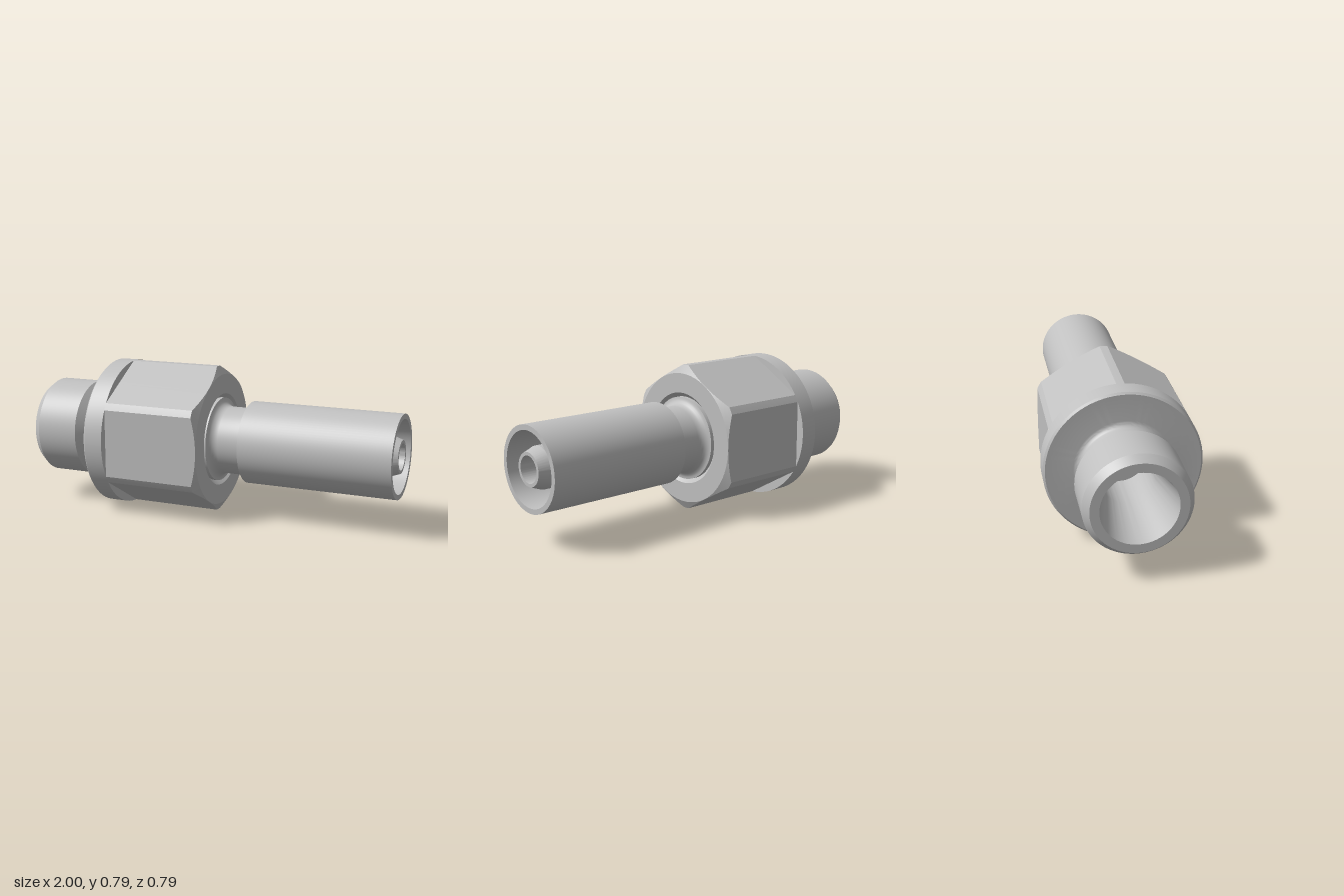
import * as THREE from 'three';
import { toCreasedNormals } from 'three/addons/utils/BufferGeometryUtils.js';

const AXIS_Y = 0.393;
const CREASE = 0.34;

// Turned part: profile of [radius, x] pairs spun around the x axis
function turned(profile) {
  const points = profile.map(([r, x]) => new THREE.Vector2(r, x));
  const geometry = new THREE.LatheGeometry(points, 96);
  geometry.rotateZ(-Math.PI / 2);
  return toCreasedNormals(geometry, CREASE);
}

// Quarter fillet sampled as profile points
function fillet(fn, steps = 6) {
  return Array.from({ length: steps + 1 }, (_, i) => fn((i / steps) * Math.PI / 2));
}

// Hexagon with rounded corners, a conical end chamfer and a countersunk hole
function hexNutGeometry() {
  const flat = 0.35, corner = 0.393, face = 0.349, end = 0.03;
  const cut = Math.PI / 6 - Math.acos(flat / corner);
  const angles = [];
  for (let k = 0; k < 6; k++) {
    const start = k * Math.PI / 3;
    angles.push(start);
    for (let i = 0; i <= 14; i++) {
      angles.push(start + cut + (i / 14) * (Math.PI / 3 - 2 * cut));
    }
  }
  angles.push(Math.PI * 2);

  const positions = [], index = [], rows = 5;
  angles.forEach((a) => {
    const fromFlat = (a % (Math.PI / 3)) - Math.PI / 6;
    const r = Math.min(flat / Math.cos(fromFlat), corner);
    const profile = [
      [r, -0.49], [r, end - (r - face) * 0.577], [face, end], [0.245, end], [0.222, 0.005],
    ];
    profile.forEach(([q, x]) => positions.push(x, q * Math.cos(a), q * Math.sin(a)));
  });
  for (let i = 0; i < angles.length - 1; i++) {
    for (let j = 0; j < rows - 1; j++) {
      const a = i * rows + j, b = a + rows;
      index.push(a, b, b + 1, a, b + 1, a + 1);
    }
  }
  const geometry = new THREE.BufferGeometry();
  geometry.setAttribute('position', new THREE.Float32BufferAttribute(positions, 3));
  geometry.setIndex(index);
  return toCreasedNormals(geometry, CREASE);
}

export function createModel() {
  const group = new THREE.Group();
  group.name = 'hoseFitting';
  const steel = new THREE.MeshStandardMaterial({ color: 0xc0c0c0 });
  steel.name = 'steel grey';

  function add(name, geometry) {
    const mesh = new THREE.Mesh(geometry, steel);
    mesh.name = name;
    mesh.position.y = AXIS_Y;
    group.add(mesh);
  }

  // Threaded end with tapered bore, undercut and round flange
  add('plugAndFlange', turned([
    [0.068, -0.5], [0.13, -0.5], [0.13, -0.72], [0.185, -1],
    [0.23, -1], [0.26, -0.96], [0.26, -0.73], [0.217, -0.69],
    ...fillet((t) => [0.247 - 0.03 * Math.cos(t), -0.63 + 0.03 * Math.sin(t)]),
    [0.383, -0.6], [0.393, -0.59], [0.393, -0.49], [0.22, -0.49],
  ]));

  add('hexNut', hexNutGeometry());

  // Neck, outer sleeve, inner nipple and through bore
  add('sleeveAndNipple', turned([
    [0.222, -0.02],
    ...fillet((t) => [0.222 - 0.044 * Math.sin(t), 0.075 - 0.047 * Math.cos(t)]),
    [0.178, 0.2], [0.2165, 0.2], [0.2165, 1], [0.19, 1], [0.165, 0.4],
    [0.107, 0.4], [0.107, 0.94], [0.085, 1], [0.068, 1], [0.068, -0.5],
  ]));

  return group;
}
